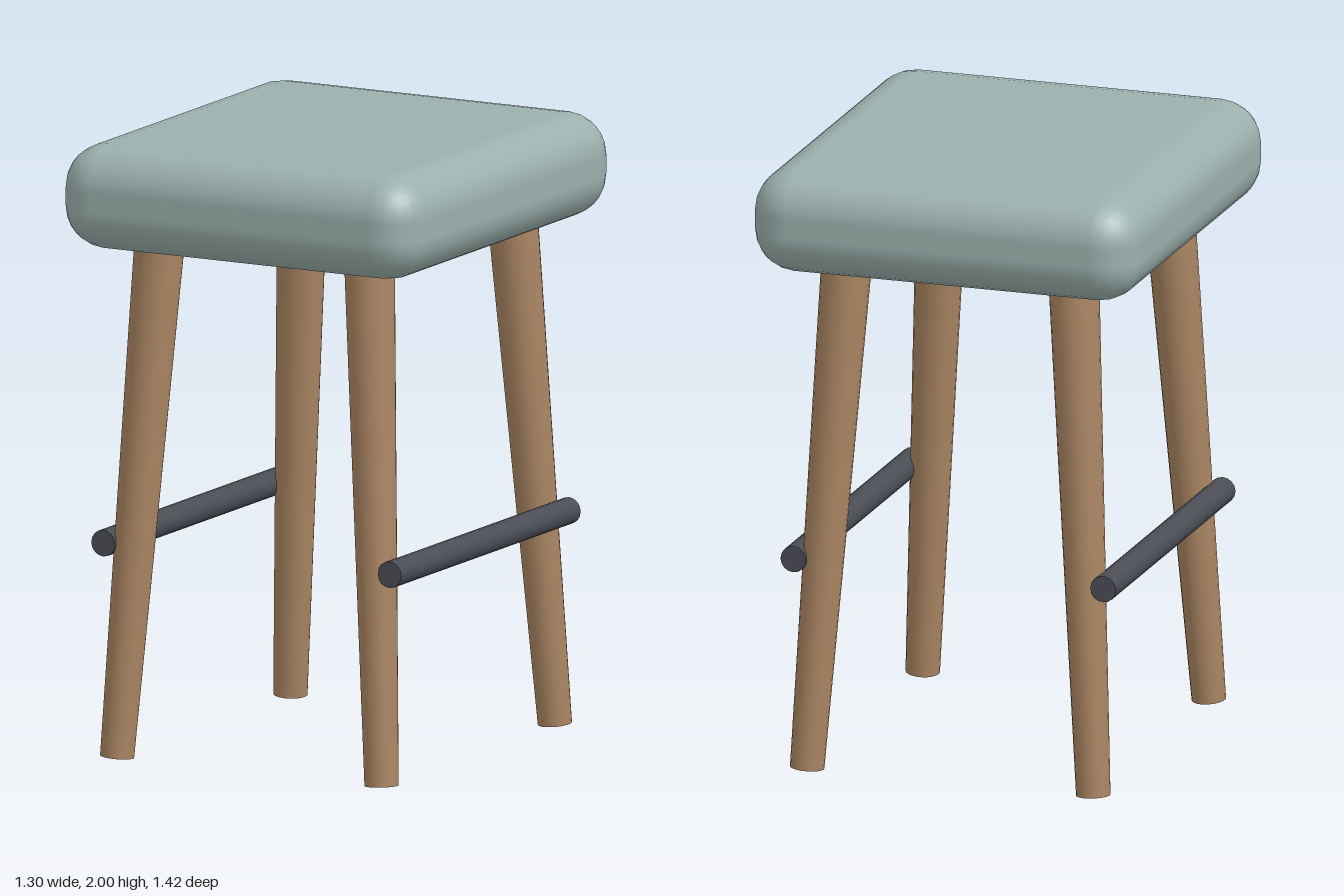
import * as THREE from 'three';
import { RoundedBoxGeometry } from 'three/addons/geometries/RoundedBoxGeometry.js';

export function createModel() {
  const cushion = new THREE.MeshStandardMaterial({ name: 'sageCushion', color: 0x9bb0ad });
  const wood = new THREE.MeshStandardMaterial({ name: 'wood', color: 0xaa8562 });
  const metal = new THREE.MeshStandardMaterial({ name: 'darkMetal', color: 0x4b4d56 });

  const group = new THREE.Group();
  group.name = 'stool';

  function add(name, geometry, material) {
    const mesh = new THREE.Mesh(geometry, material);
    mesh.name = name;
    group.add(mesh);
    return mesh;
  }

  // Padded seat
  add('seat', new RoundedBoxGeometry(1.3, 0.34, 1.42, 3, 0.14), cushion).position.y = 1.83;

  // Splayed, tapered legs, cut square to their own axis and set into the seat
  const up = new THREE.Vector3(0, 1, 0);
  for (const sx of [-1, 1]) {
    for (const sz of [-1, 1]) {
      const foot = new THREE.Vector3(sx * 0.482, 0.007, sz * 0.57);
      const top = new THREE.Vector3(sx * 0.38, 1.72, sz * 0.467);
      const axis = top.clone().sub(foot);
      const name = (sz > 0 ? 'front' : 'back') + (sx > 0 ? 'Left' : 'Right') + 'Leg';
      const leg = add(name, new THREE.CylinderGeometry(0.082, 0.055, axis.length(), 20), wood);
      leg.position.copy(foot).add(top).multiplyScalar(0.5);
      leg.quaternion.setFromUnitVectors(up, axis.normalize());
    }

    // Side foot rail
    const rail = add(sx > 0 ? 'leftFootRail' : 'rightFootRail',
      new THREE.CylinderGeometry(0.043, 0.043, 1.18, 16), metal);
    rail.position.set(sx * 0.522, 0.7, 0);
    rail.rotation.x = Math.PI / 2;
  }

  return group;
}
